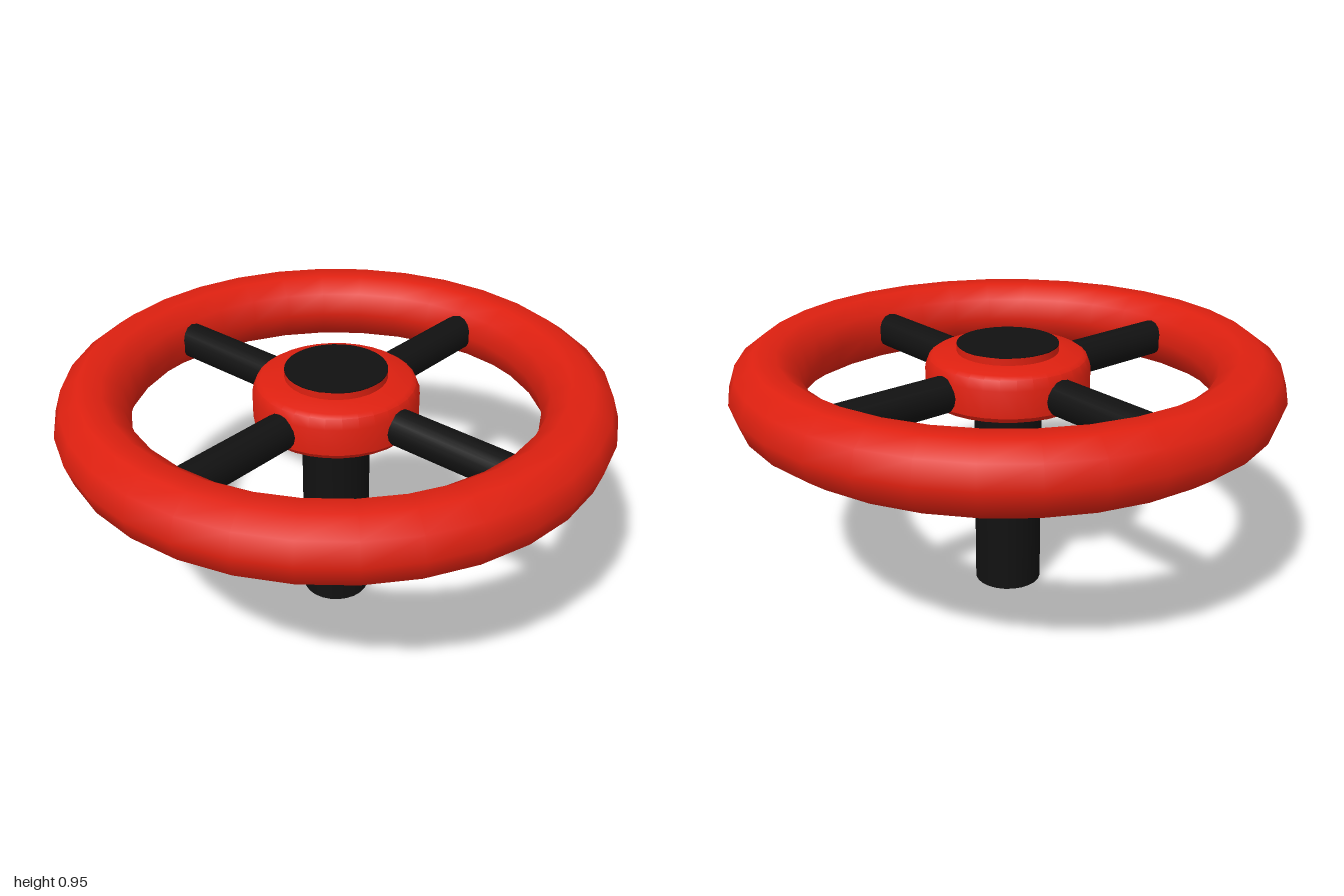
import * as THREE from 'three';
import { toCreasedNormals } from 'three/addons/utils/BufferGeometryUtils.js';

const HUB_Y = 0.818;

export function createModel() {
  const model = new THREE.Group();
  model.name = 'handwheel';
  const red = new THREE.MeshStandardMaterial({ color: 0xdd2010 });
  const black = new THREE.MeshStandardMaterial({ color: 0x111111 });

  const add = (name, geometry, material, y) => {
    const mesh = new THREE.Mesh(geometry, material);
    mesh.name = name;
    mesh.position.y = y;
    model.add(mesh);
    return mesh;
  };

  // Rim: ten-sided tube swept in 32 steps
  add('rim', new THREE.TorusGeometry(0.866, 0.134, 10, 32).rotateX(Math.PI / 2), red, HUB_Y);

  // Hub: bevelled drum with a raised collar above and below
  const profile = [
    [0, -0.105], [0.185, -0.105], [0.185, -0.068], [0.287, -0.068], [0.3, -0.05],
    [0.3, 0.05], [0.286, 0.085], [0.27, 0.096], [0.185, 0.104], [0.185, 0.13], [0, 0.13],
  ].map(([r, y]) => new THREE.Vector2(r, y));
  add('hub', toCreasedNormals(new THREE.LatheGeometry(profile, 32), 0.6), red, HUB_Y);

  // Black disc on top of the hub
  add('hubCap', new THREE.CylinderGeometry(0.185, 0.185, 0.004, 32), black, HUB_Y + 0.131);

  // Four round spokes, running from inside the hub into the rim
  for (let i = 0; i < 4; i++) {
    const geometry = new THREE.CylinderGeometry(0.067, 0.067, 0.62, 16)
      .rotateZ(Math.PI / 2)
      .translate(0.51, 0, 0);
    add('spoke' + (i + 1), geometry, black, HUB_Y).rotation.y = i * Math.PI / 2;
  }

  // Stem below the hub
  add('stem', new THREE.CylinderGeometry(0.125, 0.125, 0.75, 24), black, 0.375);

  return model;
}
